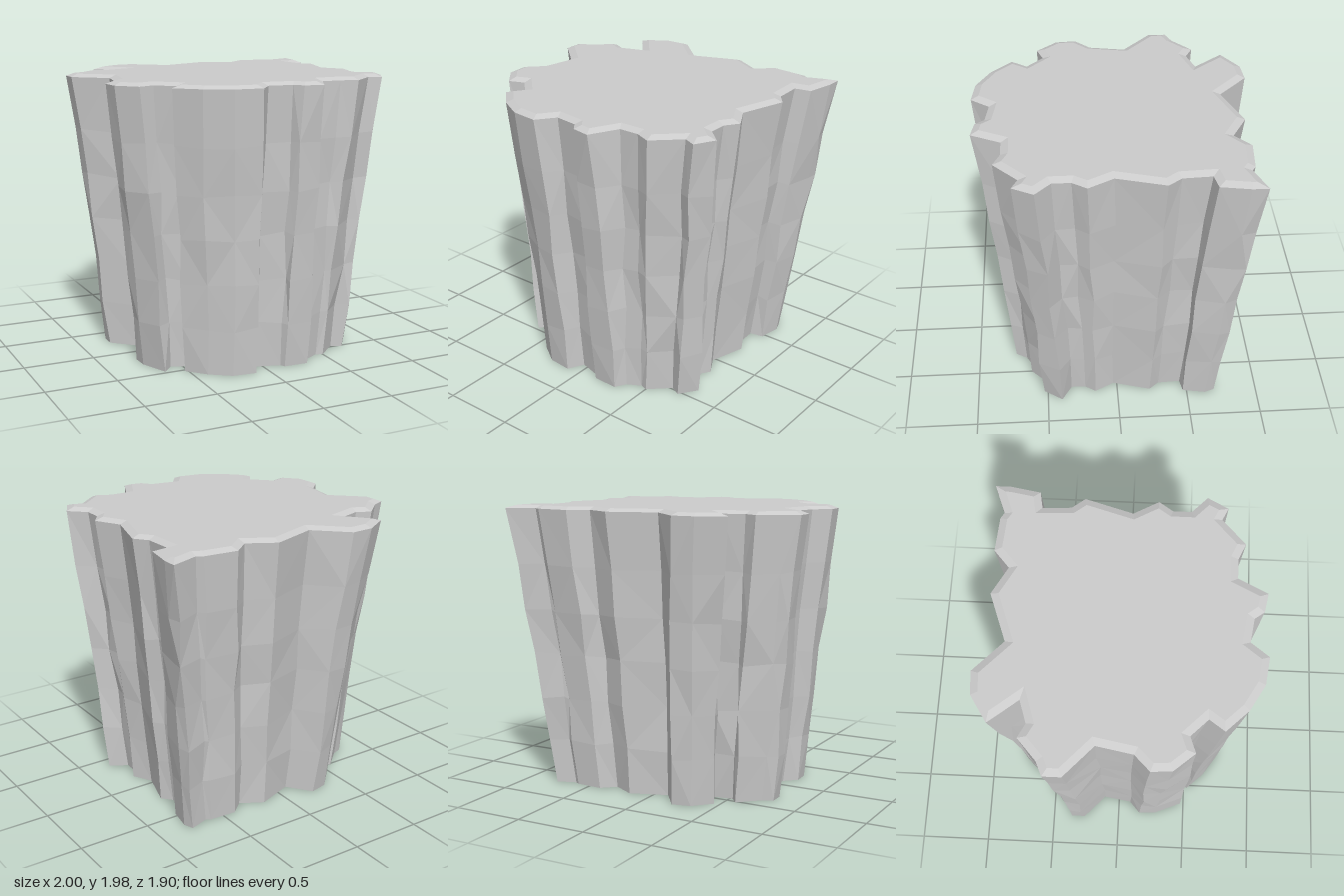
import * as THREE from 'three';

// Jagged rim outline as [x, z], clockwise seen from above
const OUTLINE = [
  [-0.67, -0.83], [-0.49, -0.945], [-0.33, -0.955], [-0.12, -0.755], [0.21, -0.875],
  [0.40, -0.77], [0.52, -0.875], [0.76, -0.855], [0.80, -0.83], [1.0, -0.905],
  [1.0, -0.80], [0.965, -0.60], [0.85, -0.58], [0.86, -0.385], [0.93, -0.295],
  [0.835, 0.03], [0.93, 0.20], [0.865, 0.295], [0.865, 0.42], [0.975, 0.525],
  [0.90, 0.665], [0.815, 0.625], [0.64, 0.785], [0.53, 0.735], [0.39, 0.735],
  [0.29, 0.935], [0.16, 0.91], [0.11, 0.845], [-0.055, 0.82], [-0.15, 0.945],
  [-0.34, 0.92], [-0.515, 0.82], [-0.66, 0.67], [-0.585, 0.565], [-0.70, 0.45],
  [-0.81, 0.49], [-0.93, 0.35], [-0.94, 0.21], [-0.835, 0.105], [-0.79, -0.14],
  [-1.0, -0.335], [-1.0, -0.46], [-0.905, -0.50], [-0.76, -0.63], [-0.665, -0.58],
  [-0.51, -0.63], [-0.62, -0.765],
].map(([x, z]) => new THREE.Vector2(x, z));

// Sideways drift [x, z] of single ridges and grooves at the foot, by outline index
const DRIFT = {
  0: [0.07, 0.04], 1: [0.04, 0.01], 2: [0.04, -0.01], 9: [-0.02, 0.01],
  19: [0.03, -0.01], 23: [0.035, 0.02], 24: [0.05, 0.07], 25: [0.08, -0.005],
  26: [0.015, 0.015], 27: [0.035, 0.03], 29: [0.02, 0.02], 30: [0, 0.02],
  34: [-0.03, 0.045], 35: [-0.015, 0.09], 43: [0.027, -0.022], 45: [0.03, 0.02],
  46: [0.06, 0.04],
};

// [height, outline scale, wobble] of each ring of the trunk
const RINGS = [
  [0, 0.785, 0.004], [0.32, 0.818, 0.012], [0.63, 0.848, 0.014], [0.95, 0.878, 0.014],
  [1.25, 0.915, 0.014], [1.57, 0.95, 0.01], [1.95, 1, 0],
];

function seeded(seed) {
  return () => {
    seed = (seed * 16807) % 2147483647;
    return seed / 2147483647;
  };
}

// Mitred inward offset of a clockwise outline
function inset(points, amount) {
  const n = points.length;
  const normal = (a, b) => new THREE.Vector2(a.y - b.y, b.x - a.x).normalize();
  return points.map((p, i) => {
    const n0 = normal(points[(i + n - 1) % n], p);
    const n1 = normal(p, points[(i + 1) % n]);
    const miter = n0.clone().add(n1).normalize();
    const length = Math.min(amount / Math.max(miter.dot(n1), 0.1), amount * 1.8);
    return p.clone().addScaledVector(miter, length);
  });
}

// Faces between successive rings, with alternating diagonals
function wallGeometry(rings) {
  const n = rings[0].length;
  const index = [];
  for (let r = 0; r < rings.length - 1; r++) {
    for (let i = 0; i < n; i++) {
      const j = (i + 1) % n;
      const a = r * n + i, b = r * n + j, c = a + n, d = b + n;
      if ((i + r) % 2) index.push(a, c, d, a, d, b);
      else index.push(a, c, b, b, c, d);
    }
  }
  return finish(rings.flat(), index);
}

// Flat cap filling one ring, facing up (1) or down (-1)
function capGeometry(ring, facing) {
  const contour = ring.map((p) => new THREE.Vector2(p.x, p.z));
  const index = [];
  for (const [a, b, c] of THREE.ShapeUtils.triangulateShape(contour, [])) {
    const ab = ring[b].clone().sub(ring[a]);
    const up = ab.cross(ring[c].clone().sub(ring[a])).y;
    if (up * facing > 0) index.push(a, b, c);
    else index.push(a, c, b);
  }
  return finish(ring, index);
}

function finish(points, index) {
  const indexed = new THREE.BufferGeometry().setFromPoints(points);
  indexed.setIndex(index);
  const geometry = indexed.toNonIndexed();
  geometry.computeVertexNormals();
  return geometry;
}

export function createModel() {
  const group = new THREE.Group();
  group.name = 'treeStump';
  const material = new THREE.MeshStandardMaterial({ color: 0xcccccc, flatShading: true });
  const add = (name, geometry) => {
    const mesh = new THREE.Mesh(geometry, material);
    mesh.name = name;
    group.add(mesh);
  };

  // Bark rings taper downwards, drift towards the foot and wander a little
  const random = seeded(4711);
  const wobble = (size) => (random() * 2 - 1) * size;
  const rings = RINGS.map(([y, scale, size]) => {
    const blend = 1 - (y / 1.95) ** 1.5;
    return OUTLINE.map((p, i) => {
      const [dx, dz] = DRIFT[i] ?? [0, 0];
      return new THREE.Vector3(
        p.x * scale + dx * blend + wobble(size),
        y + (y > 0 ? wobble(size) : 0) + (y > 1.9 ? 0.006 * p.x : 0),
        p.y * scale + dz * blend + wobble(size),
      );
    });
  });
  const rim = rings[rings.length - 1];

  // Cut surface, slightly tilted, with a narrow bevel around it
  const top = inset(OUTLINE, 0.05).map((p) => new THREE.Vector3(p.x, 1.97 + 0.006 * p.x, p.y));

  add('bark', wallGeometry(rings));
  add('rimBevel', wallGeometry([rim, top]));
  add('cutTop', capGeometry(top, 1));
  add('base', capGeometry(rings[0], -1));
  return group;
}
